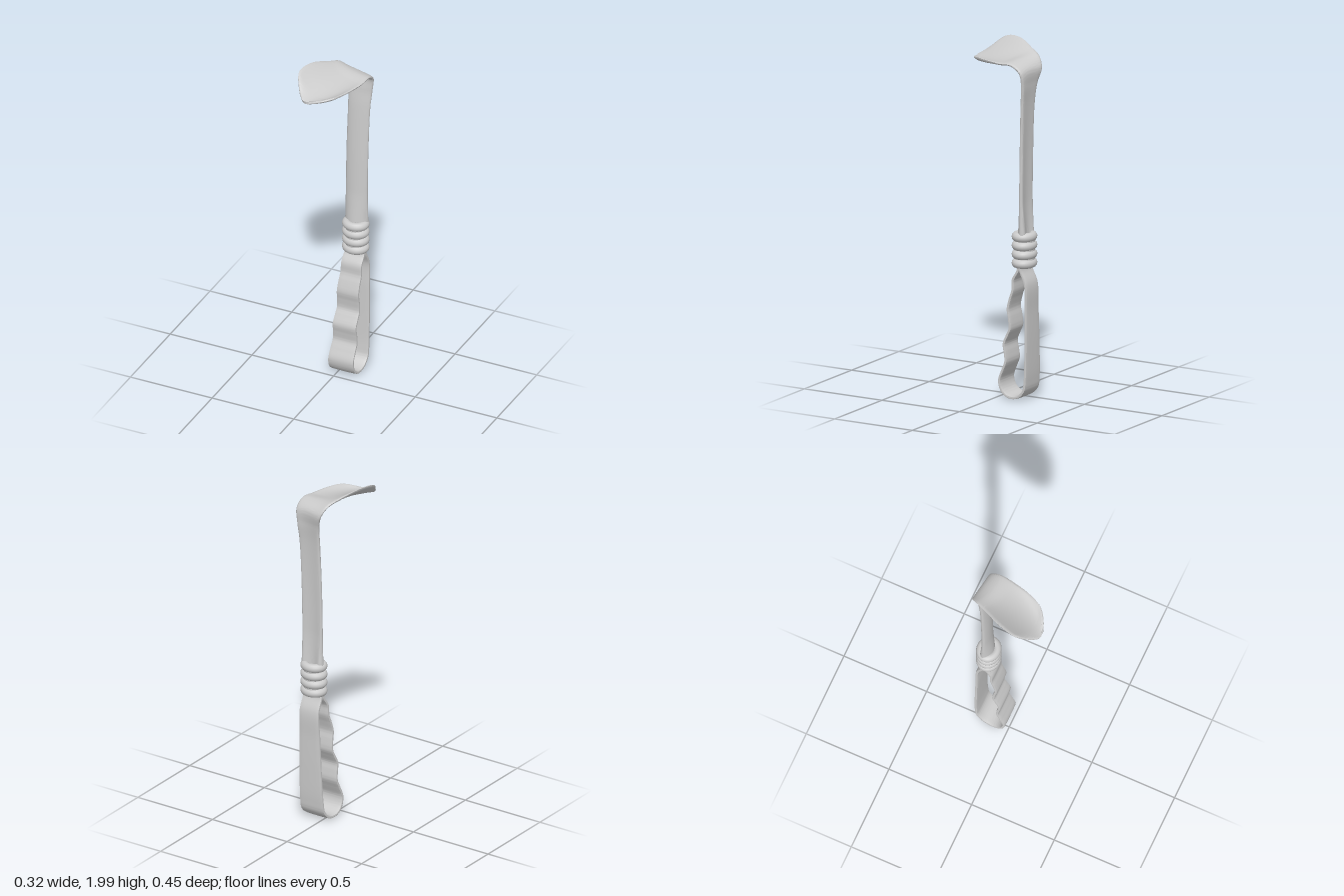
import * as THREE from 'three';
import { toCreasedNormals } from 'three/addons/utils/BufferGeometryUtils.js';

const V = (x, y, z) => new THREE.Vector3(x, y, z);
const lerp = THREE.MathUtils.lerp;

// Thick sheet around the surface at(u, v): u runs across, v along, edges rounded
function sheet(at, thickness, steps, squareness, ring = 28) {
  const pos = [], index = [], e = 1e-3;
  for (let j = 0; j <= steps; j++) {
    const v = j / steps, v0 = Math.max(0, v - e), v1 = Math.min(1, v + e);
    for (let i = 0; i < ring; i++) {
      const a = (i / ring) * Math.PI * 2, u = 0.5 - 0.5 * Math.cos(a);
      const du = at(Math.min(1, u + e), v).sub(at(Math.max(0, u - e), v));
      const dv = at(u, v1).sub(at(u, v0));
      const s = Math.sin(a);
      const off = Math.abs(s) < 1e-6 ? 0 : Math.sign(s) * Math.abs(s) ** squareness * thickness(v) / 2;
      pos.push(...at(u, v).addScaledVector(du.cross(dv).normalize(), off).toArray());
    }
  }
  for (let j = 0; j < steps; j++) {
    for (let i = 0; i < ring; i++) {
      const a = j * ring + i, b = j * ring + (i + 1) % ring;
      index.push(a, b, b + ring, a, b + ring, a + ring);
    }
  }
  // end caps bridge the two faces of the sheet
  const last = steps * ring;
  for (let i = 0; i < ring / 2; i++) {
    const a = i, b = i + 1, c = (ring - i - 1) % ring, d = (ring - i) % ring;
    index.push(a, c, b, a, d, c);
    index.push(last + a, last + b, last + c, last + a, last + c, last + d);
  }
  const g = new THREE.BufferGeometry();
  g.setAttribute('position', new THREE.Float32BufferAttribute(pos, 3));
  g.setIndex(index);
  return toCreasedNormals(g, 0.9);
}

export function createModel() {
  const group = new THREE.Group();
  const material = new THREE.MeshStandardMaterial({ color: 0xcccccc });
  const add = (name, geometry) => {
    const mesh = new THREE.Mesh(geometry, material);
    mesh.name = name;
    group.add(mesh);
    return mesh;
  };

  // Shaft bending into the spoon-like blade: left edge, middle, right edge
  const left = new THREE.CatmullRomCurve3([
    V(0, 0.93, -0.175), V(0, 1.1, -0.165), V(0.002, 1.4, -0.168), V(0.005, 1.68, -0.18), V(0, 1.79, -0.195),
    V(-0.025, 1.87, -0.21), V(-0.05, 1.925, -0.18), V(-0.085, 1.957, -0.11), V(-0.14, 1.99, 0),
    V(-0.162, 1.982, 0.1), V(-0.125, 1.92, 0.175), V(-0.09, 1.886, 0.215)]);
  const middle = new THREE.CatmullRomCurve3([
    V(0.06, 0.93, -0.145), V(0.063, 1.1, -0.15), V(0.066, 1.4, -0.157), V(0.07, 1.68, -0.171), V(0.074, 1.79, -0.182),
    V(0.07, 1.878, -0.185), V(0.055, 1.912, -0.13), V(0.035, 1.905, -0.05), V(0, 1.894, 0.07),
    V(-0.03, 1.885, 0.15), V(-0.05, 1.88, 0.2), V(-0.065, 1.877, 0.223)]);
  const right = new THREE.CatmullRomCurve3([
    V(0.125, 0.93, -0.18), V(0.127, 1.1, -0.17), V(0.13, 1.4, -0.172), V(0.138, 1.68, -0.18), V(0.148, 1.79, -0.188),
    V(0.158, 1.865, -0.178), V(0.16, 1.905, -0.125), V(0.15, 1.905, -0.04), V(0.125, 1.908, 0.06),
    V(0.085, 1.907, 0.145), V(0.03, 1.895, 0.19), V(-0.035, 1.88, 0.215)]);
  const blade = (u, v) => left.getPoint(v).multiplyScalar((1 - u) * (1 - 2 * u))
    .addScaledVector(middle.getPoint(v), 4 * u * (1 - u))
    .addScaledVector(right.getPoint(v), u * (2 * u - 1));
  const bladeThickness = v => v < 0.1 ? lerp(0.05, 0.03, v / 0.1) : lerp(0.03, 0.016, (v - 0.1) / 0.9);
  add('shaftAndBlade', sheet(blade, bladeThickness, 150, 0.5));

  // Band handle: wavy finger grip in front, round bottom, straight back (z, y)
  const loop = [
    [-0.152, 0.12], [-0.19, 0.12], [-0.195, 0.3], [-0.195, 0.5], [-0.193, 0.66], [-0.16, 0.74], [-0.157, 0.79]];
  const grip = [
    [-0.147, 0.79], [-0.143, 0.74], [-0.11, 0.68], [-0.107, 0.62], [-0.09, 0.57], [-0.076, 0.51], [-0.084, 0.46],
    [-0.088, 0.4], [-0.07, 0.36], [-0.049, 0.31], [-0.056, 0.26], [-0.06, 0.21], [-0.04, 0.16], [-0.018, 0.1],
    [-0.03, 0.05], [-0.06, 0.02], [-0.1, 0.01], [-0.145, 0.022], [-0.18, 0.06], ...loop.slice(1)].reverse();
  const path = new THREE.CatmullRomCurve3(grip.map(([z, y]) => V(0, y, z)));
  const band = (u, v) => {
    const p = path.getPoint(v);
    const back = 0.012 * (-p.z - 0.02) / 0.18;
    p.x = lerp(lerp(-0.045, -0.008, p.y / 0.75), 0.114, u) + back;
    return p;
  };
  // the path runs down the back and up the front
  add('gripBand', sheet(band, () => 0.018, 180, 0.25));

  // Stacked rings around a short core
  const core = add('collarCore', new THREE.CylinderGeometry(0.058, 0.058, 0.18, 32));
  core.position.set(0.062, 0.85, -0.152);
  for (let i = 0; i < 4; i++) {
    const ring = add('collarRing', new THREE.TorusGeometry(0.05, 0.026, 14, 40));
    ring.rotation.x = Math.PI / 2;
    ring.scale.set(1.03, 0.9, 0.98);
    ring.position.set(0.062, 0.775 + i * 0.05, -0.152);
  }
  return group;
}
